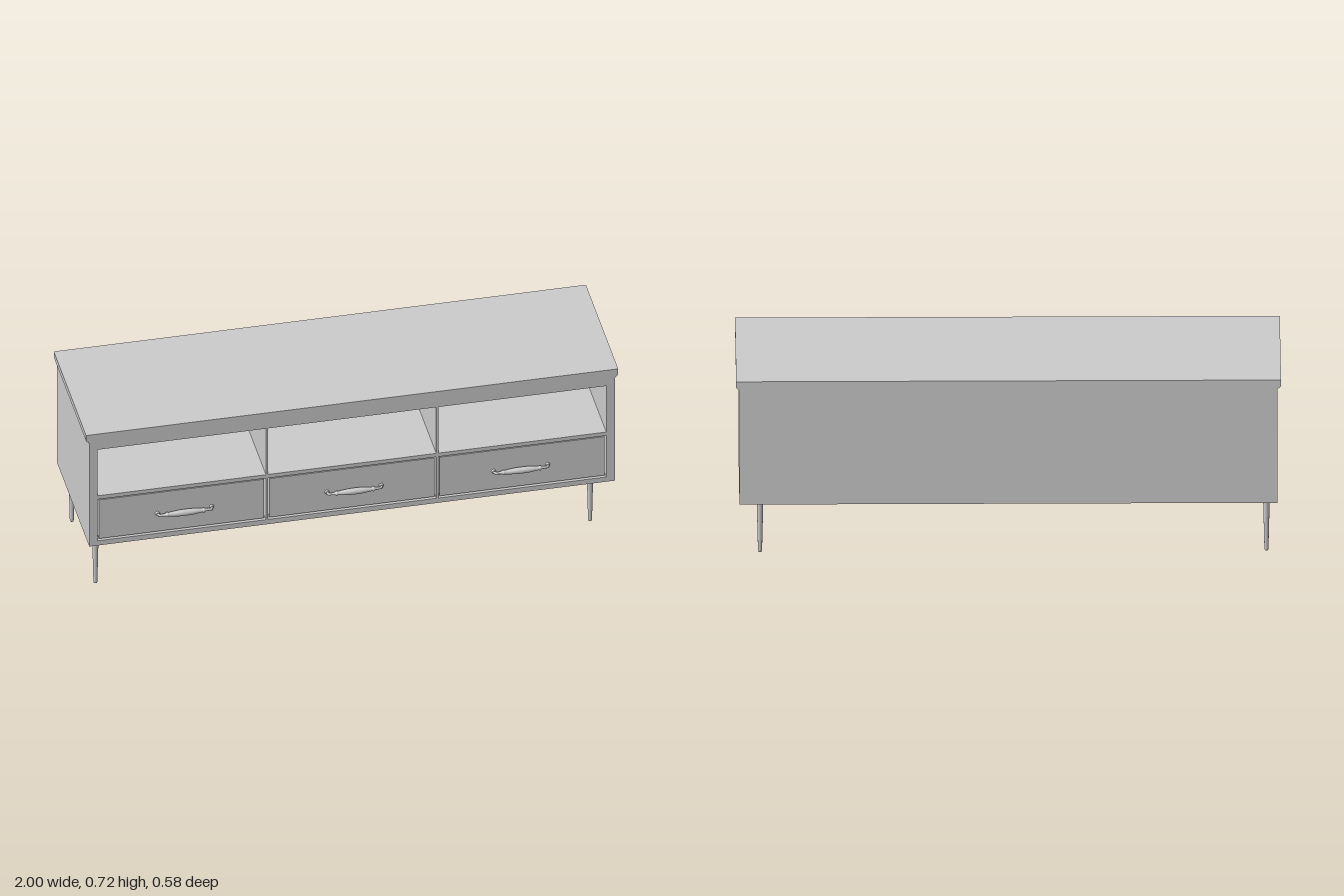
import * as THREE from 'three';

const FRONT = 0.264, BACK = -0.289, PANEL = 0.02;
const BOTTOM = 0.222, LID_BASE = 0.683, TOP = 0.72, HALF = 0.988;

// Three bays shared by the open shelves and the drawers
const BAYS = [[-0.957, -0.324], [-0.316, 0.316], [0.324, 0.955]];
const SHELF_Y = [0.444, 0.65], DRAWER_Y = [0.243, 0.428];
const HANDLE_X = [-0.629, 0.008, 0.634];

const grey = new THREE.MeshStandardMaterial({ color: 0xcccccc });

function add(parent, name, geometry, x = 0, y = 0, z = 0) {
  const mesh = new THREE.Mesh(geometry, grey);
  mesh.name = name;
  mesh.position.set(x, y, z);
  parent.add(mesh);
  return mesh;
}

const points = (list) => list.map(([x, y]) => new THREE.Vector2(x, y));
const rect = (x0, x1, y0, y1) => points([[x0, y0], [x1, y0], [x1, y1], [x0, y1]]);

// Turned handle lying along x, held by two short posts
function createHandle() {
  const handle = new THREE.Group();
  handle.name = 'handle';
  const half = [[0.0125, 0], [0.012, 0.025], [0.0095, 0.05], [0.0075, 0.064], [0.0095, 0.067],
    [0.0095, 0.071], [0.006, 0.074], [0.0045, 0.09], [0.005, 0.1]];
  const profile = [[0, -0.1], ...half.slice(1).reverse().map(([r, x]) => [r, -x]), ...half, [0, 0.1]];
  const grip = add(handle, 'handleGrip', new THREE.LatheGeometry(points(profile), 16), 0, 0, 0.0125);
  grip.rotation.z = -Math.PI / 2;
  for (const side of [-1, 1]) {
    const curve = new THREE.CatmullRomCurve3([
      new THREE.Vector3(side * 0.092, 0, 0.0125),
      new THREE.Vector3(side * 0.1, 0, 0.009),
      new THREE.Vector3(side * 0.102, 0, -0.006),
    ]);
    add(handle, 'handlePost', new THREE.TubeGeometry(curve, 8, 0.0045, 10));
    const rose = add(handle, 'handleRose', new THREE.CylinderGeometry(0.007, 0.009, 0.008, 12), side * 0.102, 0, 0);
    rose.rotation.x = Math.PI / 2;
  }
  return handle;
}

export function createModel() {
  const model = new THREE.Group();
  model.name = 'mediaCabinet';

  // Carcass with six openings, closed by a back panel
  const carcass = new THREE.Shape(rect(-HALF, HALF, BOTTOM, LID_BASE));
  for (const [x0, x1] of BAYS) {
    for (const [y0, y1] of [SHELF_Y, DRAWER_Y]) {
      carcass.holes.push(new THREE.Path(rect(x0, x1, y0, y1)));
    }
  }
  const depth = FRONT - BACK - PANEL;
  add(model, 'carcass', new THREE.ExtrudeGeometry(carcass, { depth, bevelEnabled: false }), 0, 0, BACK + PANEL);
  add(model, 'backPanel', new THREE.BoxGeometry(HALF * 2, LID_BASE - BOTTOM, PANEL),
    0, (LID_BASE + BOTTOM) / 2, BACK + PANEL / 2);

  // Lid with chamfered overhang at both ends
  const lid = new THREE.Shape(points([[-HALF, LID_BASE], [HALF, LID_BASE], [1, 0.695], [1, TOP], [-1, TOP], [-1, 0.695]]));
  add(model, 'lid', new THREE.ExtrudeGeometry(lid, { depth: FRONT - BACK, bevelEnabled: false }), 0, 0, BACK);

  // Drawers with a narrow gap around each front
  const gap = 0.006, recess = 0.004;
  BAYS.forEach(([x0, x1], i) => {
    const y = (DRAWER_Y[0] + DRAWER_Y[1]) / 2;
    const box = new THREE.BoxGeometry(x1 - x0 - 2 * gap, DRAWER_Y[1] - DRAWER_Y[0] - 2 * gap, depth - recess);
    add(model, 'drawer', box, (x0 + x1) / 2, y, FRONT - recess - (depth - recess) / 2);
    const handle = createHandle();
    handle.position.set(HANDLE_X[i], 0.33, FRONT);
    model.add(handle);
  });

  // Tapered legs with a rounded foot
  const legProfile = points([[0, 0], [0.006, 0], [0.0075, 0.004], [0.0125, BOTTOM]]);
  const legGeometry = new THREE.LatheGeometry(legProfile, 12);
  for (const x of [-0.947, 0.912]) {
    for (const z of [0.182, -0.222]) add(model, 'leg', legGeometry, x, 0, z);
  }
  return model;
}
